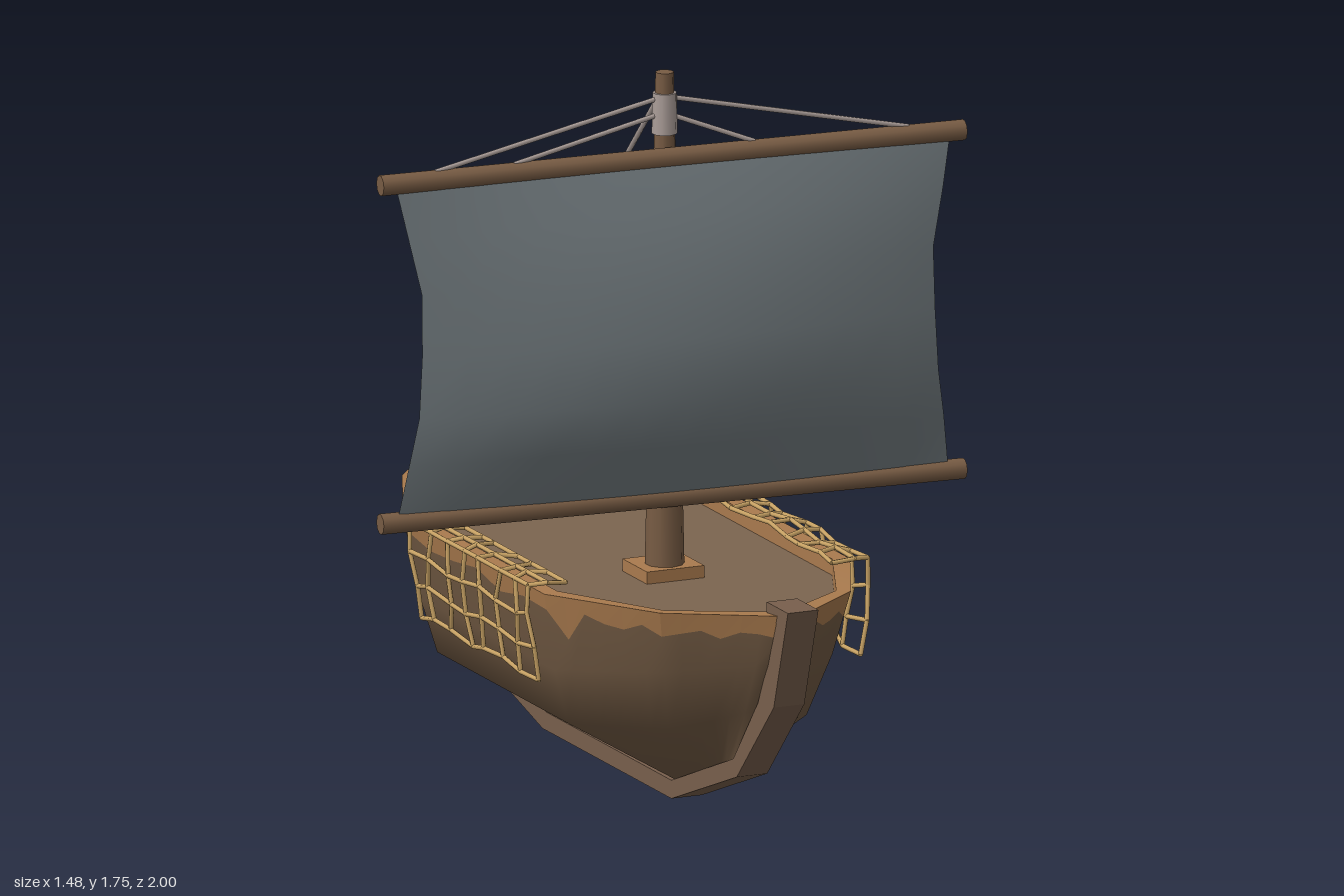
import * as THREE from 'three';
import { mergeGeometries } from 'three/addons/utils/BufferGeometryUtils.js';

const mat = (name, color, side = THREE.FrontSide, flatShading = false) =>
  Object.assign(new THREE.MeshStandardMaterial({ color, side, flatShading }), { name });
const V = (x, y, z) => new THREE.Vector3(x, y, z);

// Surface through rows of points; rows run downwards as seen from outside
function grid(rows) {
  const n = rows[0].length, index = [];
  for (let r = 0; r < rows.length - 1; r++)
    for (let c = 0; c < n - 1; c++) {
      const a = r * n + c, b = a + n;
      index.push(a, b, a + 1, b, b + 1, a + 1);
    }
  const g = new THREE.BufferGeometry().setFromPoints(rows.flat());
  g.setIndex(index);
  g.computeVertexNormals();
  return g;
}

// Turns bow-to-stern points of the left side into a finely divided closed loop
function loop(pts, steps = 6) {
  const half = [];
  for (let i = 0; i < pts.length - 1; i++)
    for (let k = 0; k < steps; k++) half.push(V(...pts[i]).lerp(V(...pts[i + 1]), k / steps));
  half.push(V(...pts.at(-1)));
  return [...half, ...half.map(p => V(-p.x, p.y, p.z)).reverse(), half[0].clone()];
}

// Straight round rod between two points
function rod(a, b, r, sides = 6) {
  const d = b.clone().sub(a);
  const g = new THREE.CylinderGeometry(r, r, d.length(), sides);
  g.applyQuaternion(new THREE.Quaternion().setFromUnitVectors(V(0, 1, 0), d.normalize()));
  const m = a.clone().lerp(b, 0.5);
  return g.translate(m.x, m.y, m.z);
}

export function createModel() {
  const ship = new THREE.Group();
  ship.name = 'sailingShip';
  const hullWood = mat('hullWood', 0x735b44);
  const deckWood = mat('deckWood', 0x7c6550);
  const trimWood = mat('trimWood', 0xaa7b4e, THREE.FrontSide, true);
  const keelWood = mat('keelWood', 0x785f4c);
  const mastWood = mat('mastWood', 0x785c44);
  const cloth = mat('sailCloth', 0x727b7f, THREE.DoubleSide);
  const rope = mat('paleRope', 0xaa9d98);
  const netRope = mat('netRope', 0xcfa868);
  const add = (name, geometry, material, parent = ship) => {
    const m = new THREE.Mesh(geometry, material);
    m.name = name;
    parent.add(m);
    return m;
  };

  // Hull: four outlines from the rim down to the keel
  const rim = loop([[0.03, 0.59, 0.95], [0.25, 0.57, 0.73], [0.4, 0.555, 0.4],
    [0.4, 0.555, -0.4], [0.26, 0.57, -0.71], [0.03, 0.59, -0.95]]);
  const side = loop([[0.03, 0.46, 0.9], [0.22, 0.41, 0.69], [0.365, 0.36, 0.38],
    [0.365, 0.36, -0.38], [0.23, 0.4, -0.69], [0.03, 0.44, -0.92]]);
  const bilge = loop([[0.03, 0.33, 0.82], [0.18, 0.25, 0.63], [0.32, 0.22, 0.36],
    [0.32, 0.22, -0.38], [0.19, 0.25, -0.67], [0.03, 0.3, -0.87]]);
  const bottom = loop([[0.03, 0.17, 0.69], [0.03, 0.1, 0.5], [0.02, 0.04, 0.34],
    [0.02, 0.04, -0.37], [0.03, 0.09, -0.53], [0.03, 0.14, -0.71]]);

  // Worn lighter band with a ragged lower edge under the rim
  const edge = rim.map((p, i) => {
    const wear = 0.22 + 0.3 * Math.max(0, Math.abs(p.z) - 0.35) + 0.08 * Math.sin(i * 2.3);
    const drip = Math.abs(p.z + 0.7) < 0.04 || Math.abs(p.z - 0.47) < 0.04 ? 0.25 : 0;
    return p.clone().lerp(side[i], wear + drip);
  });
  add('hullBand', grid([rim, edge]), trimWood);
  add('hull', grid([edge, side, bilge, bottom]), hullWood);

  // Rim top with its inner wall, and the deck inside it
  const innerPts = [[0.01, 0.585, 0.89], [0.225, 0.567, 0.7], [0.36, 0.555, 0.385],
    [0.36, 0.555, -0.385], [0.23, 0.567, -0.69], [0.01, 0.585, -0.9]];
  const inner = loop(innerPts);
  const deckY = 0.515;
  add('rim', grid([inner.map(p => V(p.x, deckY, p.z)), inner, rim]), trimWood);
  const deck = new THREE.ShapeGeometry(new THREE.Shape(inner.slice(0, -1).map(p => new THREE.Vector2(p.x, -p.z))));
  add('deck', deck.rotateX(-Math.PI / 2).translate(0, deckY, 0), deckWood);

  // Keel with bow and stern posts, as one curved beam
  const keelShape = new THREE.Shape([
    [1, 0.61], [0.92, 0.36], [0.71, 0.14], [0.34, 0], [-0.39, 0], [-0.78, 0.1], [-0.94, 0.26], [-1, 0.61],
    [-0.88, 0.61], [-0.88, 0.585], [-0.935, 0.57], [-0.87, 0.31], [-0.71, 0.15], [-0.37, 0.045],
    [0.34, 0.045], [0.69, 0.18], [0.83, 0.35], [0.91, 0.51], [0.935, 0.57], [0.88, 0.585], [0.88, 0.61],
  ].map(p => new THREE.Vector2(...p)));
  const keel = new THREE.ExtrudeGeometry(keelShape, { depth: 0.08, bevelEnabled: false });
  add('keel', keel.translate(0, 0, -0.04).rotateY(-Math.PI / 2), keelWood);

  // Mast, its foot and the rope wrap near the top
  const mastZ = 0.215;
  add('mastFoot', new THREE.BoxGeometry(0.15, 0.03, 0.14).translate(0, deckY + 0.015, 0.208), trimWood);
  add('mast', new THREE.CylinderGeometry(0.022, 0.048, 1.75 - deckY, 10)
    .translate(0, (1.75 + deckY) / 2, mastZ), mastWood);
  add('mastWrap', new THREE.CylinderGeometry(0.029, 0.031, 0.1, 10).translate(0, 1.65, mastZ), rope);

  // Sail and its two yards, turned slightly to one side
  const rig = new THREE.Group();
  rig.name = 'sailRig';
  rig.position.z = 0.257;
  rig.rotation.y = -0.068;
  ship.add(rig);
  for (const [name, y] of [['upperYard', 1.549], ['lowerYard', 0.718]])
    add(name, rod(V(-0.742, y, 0), V(0.742, y, 0), 0.025, 10), mastWood, rig);
  const sailRows = [[1.545, 0.705, 0.015], [1.42, 0.68, 0.06], [1.28, 0.65, 0.095],
    [1.13, 0.652, 0.112], [0.98, 0.66, 0.115], [0.86, 0.68, 0.075], [0.725, 0.7, 0.015]];
  add('sail', grid(sailRows.map(([y, w, bulge]) => Array.from({ length: 13 }, (_, i) => {
    const t = i / 6 - 1;
    return V(t * w, y, bulge * (0.4 + 0.6 * Math.cos(t * Math.PI / 2)));
  }))), cloth, rig);

  // Ropes from the masthead to the upper yard, and the long stay to the stern
  const lines = [[-0.6, 1.69], [0.6, 1.69], [-0.4, 1.65], [0.21, 1.65]].map(([x, y]) =>
    rod(V(0, y, mastZ), V(x, 1.57, 0.257 + x * 0.068), 0.006));
  add('yardRopes', mergeGeometries(lines), rope);
  add('sternStay', rod(V(0, 1.7, 0.2), V(0, 0.59, -0.885), 0.0065), rope);

  // Nets draped over both rims
  const profile = [[0.325, 0.567], [0.375, 0.572], [0.415, 0.565], [0.418, 0.49], [0.41, 0.415], [0.4, 0.34]];
  function net(name, sign, z0, z1, cols) {
    const pts = profile.map(([x, y], r) => Array.from({ length: cols }, (_, c) => {
      const sag = Math.sin(c * 1.9 + r * 0.7);
      const out = sign > 0 ? 0.015 * Math.sin(c / (cols - 1) * Math.PI) : 0;
      return V(sign * (x + out + 0.006 * sag), y + (r > 2 ? 0.012 : 0.004) * sag,
        z0 + (z1 - z0) * c / (cols - 1) + 0.012 * Math.sin(c * 2.7 + r * 1.8));
    }));
    const parts = [];
    pts.forEach((row, r) => row.forEach((p, c) => {
      if (c) parts.push(rod(row[c - 1], p, 0.006, 5));
      if (r) parts.push(rod(pts[r - 1][c], p, 0.006, 5));
    }));
    add(name, mergeGeometries(parts), netRope);
  }
  net('leftNet', 1, 0.46, -0.31, 9);
  net('rightNet', -1, 0.36, -0.31, 8);

  return ship;
}
